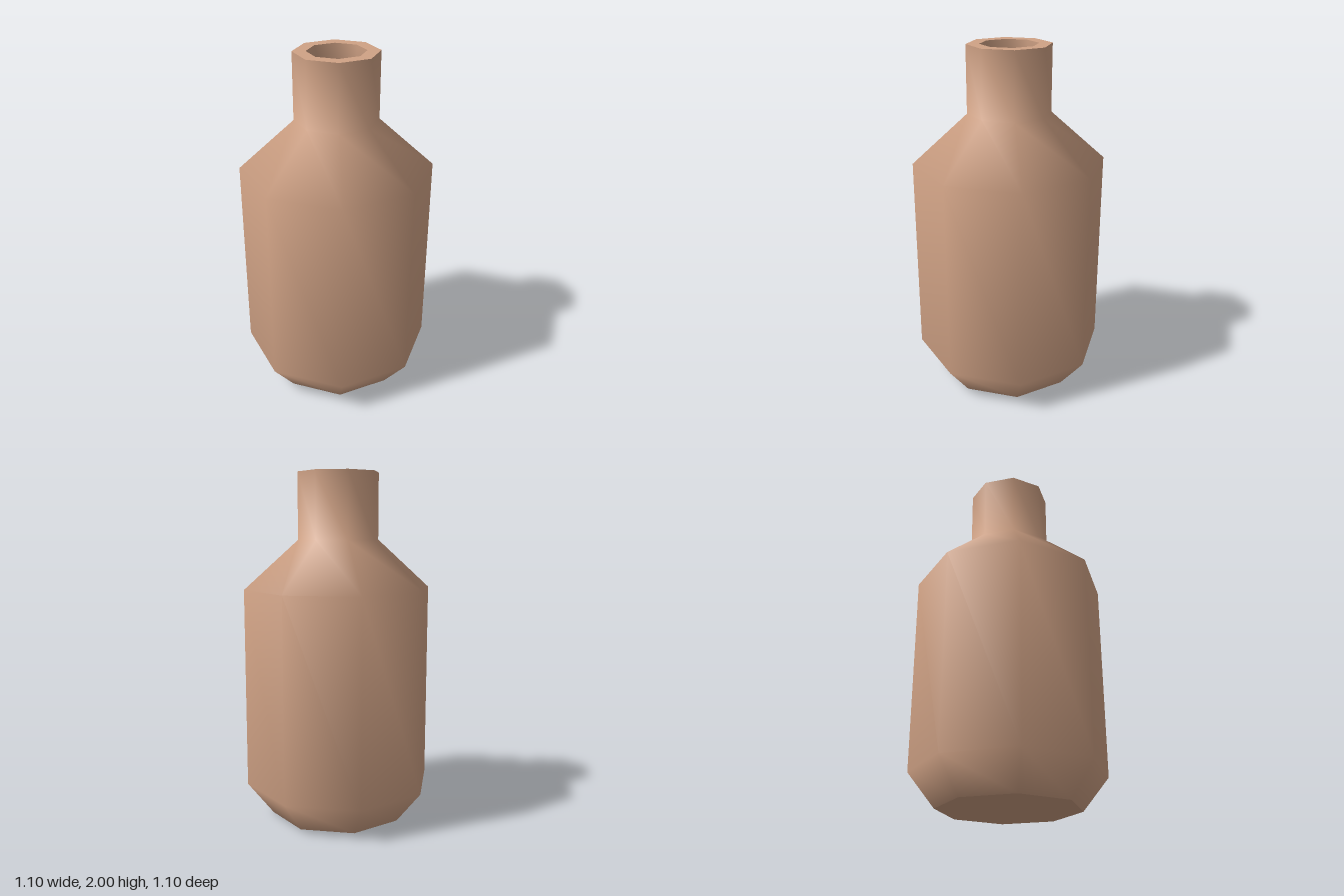
import * as THREE from 'three';

export function createModel() {
  const group = new THREE.Group();
  group.name = 'bottle';

  const clay = new THREE.MeshStandardMaterial({ color: 0xd0a285 });
  clay.name = 'clay';

  // Eight-sided turned part from [radius, height] pairs
  const turn = (name, profile) => {
    const points = profile.map(([r, y]) => new THREE.Vector2(r, y));
    const mesh = new THREE.Mesh(new THREE.LatheGeometry(points, 8), clay);
    mesh.name = name;
    group.add(mesh);
  };

  // Smooth outside: chamfered foot, body, sloping shoulder and neck
  turn('outerWall', [[0.4, 0], [0.55, 0.19], [0.55, 1.34], [0.237, 1.62], [0.237, 2]]);

  // Flat ring around the mouth
  turn('rim', [[0.237, 2], [0.163, 2]]);

  // Hollow inside, from the mouth down to the floor
  turn('innerWall', [[0.163, 2], [0.163, 1.59], [0.475, 1.31], [0.475, 0.22], [0.36, 0.075], [0, 0.075]]);

  // Flat underside
  turn('base', [[0, 0], [0.4, 0]]);

  return group;
}
